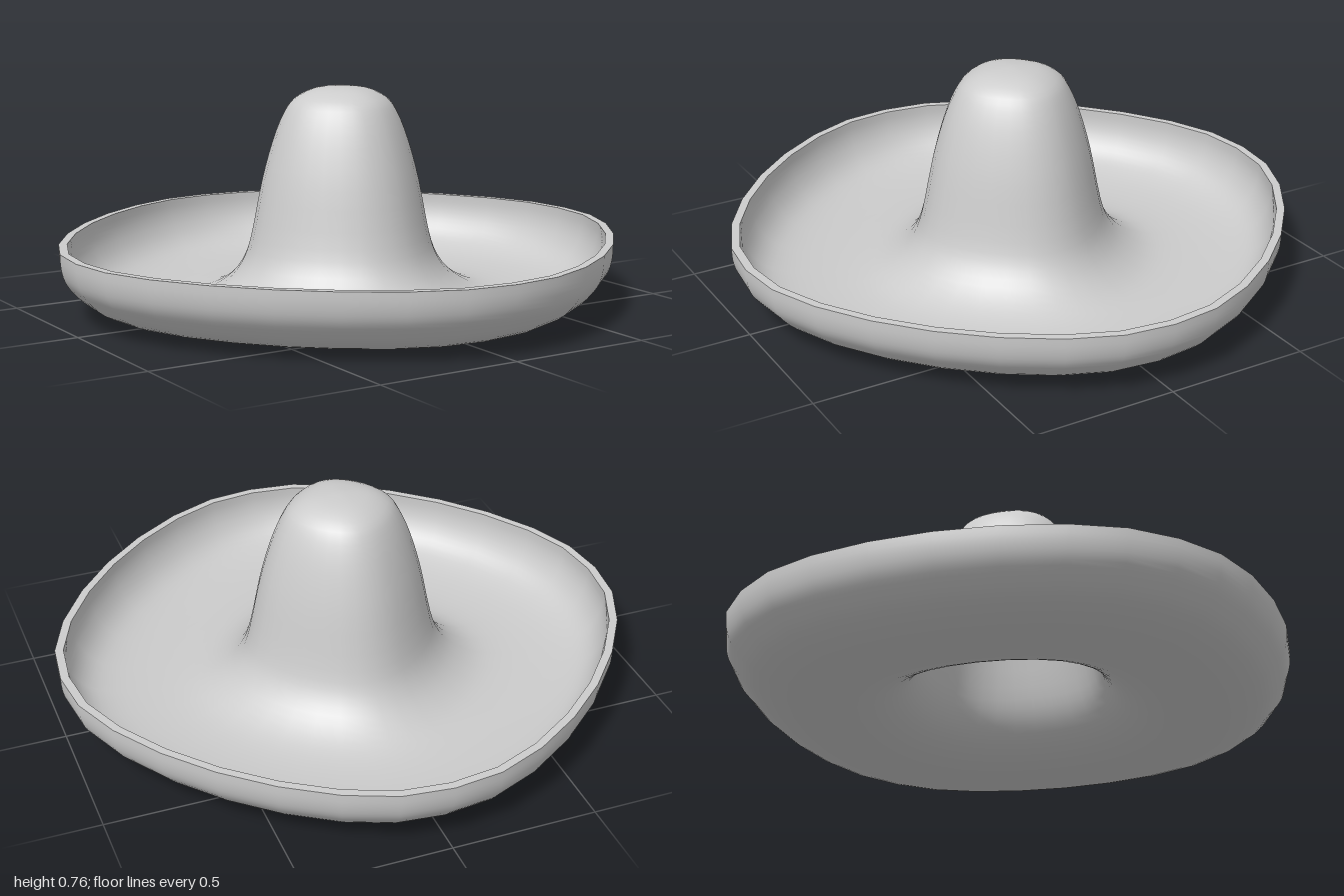
import * as THREE from 'three';
import { mergeVertices } from 'three/addons/utils/BufferGeometryUtils.js';

// One eighth of the slightly squared brim outline; the rest is mirrored
const OUTLINE = [[0, 1], [0.17, 0.98], [0.34, 0.91], [0.51, 0.8], [0.665, 0.665]];
const SEGMENTS = 32;

// Outline point (x, z) of unit size for one of the 32 steps round the hat
function outlinePoint(k) {
  const m = k % 8;
  let [x, z] = m <= 4 ? OUTLINE[m] : [OUTLINE[8 - m][1], OUTLINE[8 - m][0]];
  for (let q = Math.floor(k / 8) % 4; q > 0; q--) [x, z] = [z, -x];
  return [x, z];
}

// Smooth curve through [radius, height] points
function smooth(points, divisions) {
  const curve = new THREE.SplineCurve(points.map(([r, y]) => new THREE.Vector2(r, y)));
  return curve.getPoints(divisions).map((p) => new THREE.Vector2(Math.max(p.x, 0), p.y));
}

// Sweep a profile round the outline with seamless smooth normals
function sweep(name, profile, material) {
  const geometry = new THREE.LatheGeometry(profile, SEGMENTS);
  const position = geometry.attributes.position;
  const n = profile.length;
  for (let i = 0; i < position.count; i++) {
    const [x, z] = outlinePoint(Math.floor(i / n));
    const p = profile[i % n];
    position.setXYZ(i, p.x * x, p.y, p.x * z);
  }
  geometry.deleteAttribute('normal');
  geometry.deleteAttribute('uv');
  const merged = mergeVertices(geometry, 1e-5);
  merged.computeVertexNormals();
  const mesh = new THREE.Mesh(merged, material);
  mesh.name = name;
  return mesh;
}

export function createModel() {
  const hat = new THREE.Group();
  hat.name = 'wideBrimmedHat';
  const material = new THREE.MeshStandardMaterial({ color: 0xcccccc, side: THREE.DoubleSide });

  // Upper skin: inside of the rolled brim, across and up to the crown tip
  const upper = smooth([
    [0.97, 0.24], [0.968, 0.195], [0.953, 0.145], [0.92, 0.095], [0.865, 0.058],
    [0.77, 0.035], [0.63, 0.027], [0.51, 0.04], [0.42, 0.085], [0.36, 0.15],
    [0.325, 0.24], [0.285, 0.43], [0.245, 0.57], [0.205, 0.665], [0.165, 0.715],
    [0.095, 0.747], [0, 0.757],
  ], 48);

  // Lower skin: hollow of the crown, underside and outside of the brim
  const lower = smooth([
    [0, 0.73], [0.085, 0.72], [0.145, 0.695], [0.18, 0.65], [0.22, 0.56],
    [0.26, 0.425], [0.3, 0.235], [0.335, 0.135], [0.395, 0.065], [0.49, 0.017],
    [0.6, 0], [0.7, 0.006], [0.81, 0.02], [0.9, 0.056], [0.955, 0.105],
    [0.985, 0.147], [0.998, 0.195], [1, 0.24],
  ], 51);

  // Flat lip joining the two skins
  const lip = [new THREE.Vector2(1, 0.24), new THREE.Vector2(0.97, 0.24)];

  hat.add(
    sweep('crownAndBrimTop', upper, material),
    sweep('crownHollowAndBrimUnderside', lower, material),
    sweep('brimLip', lip, material),
  );
  return hat;
}
